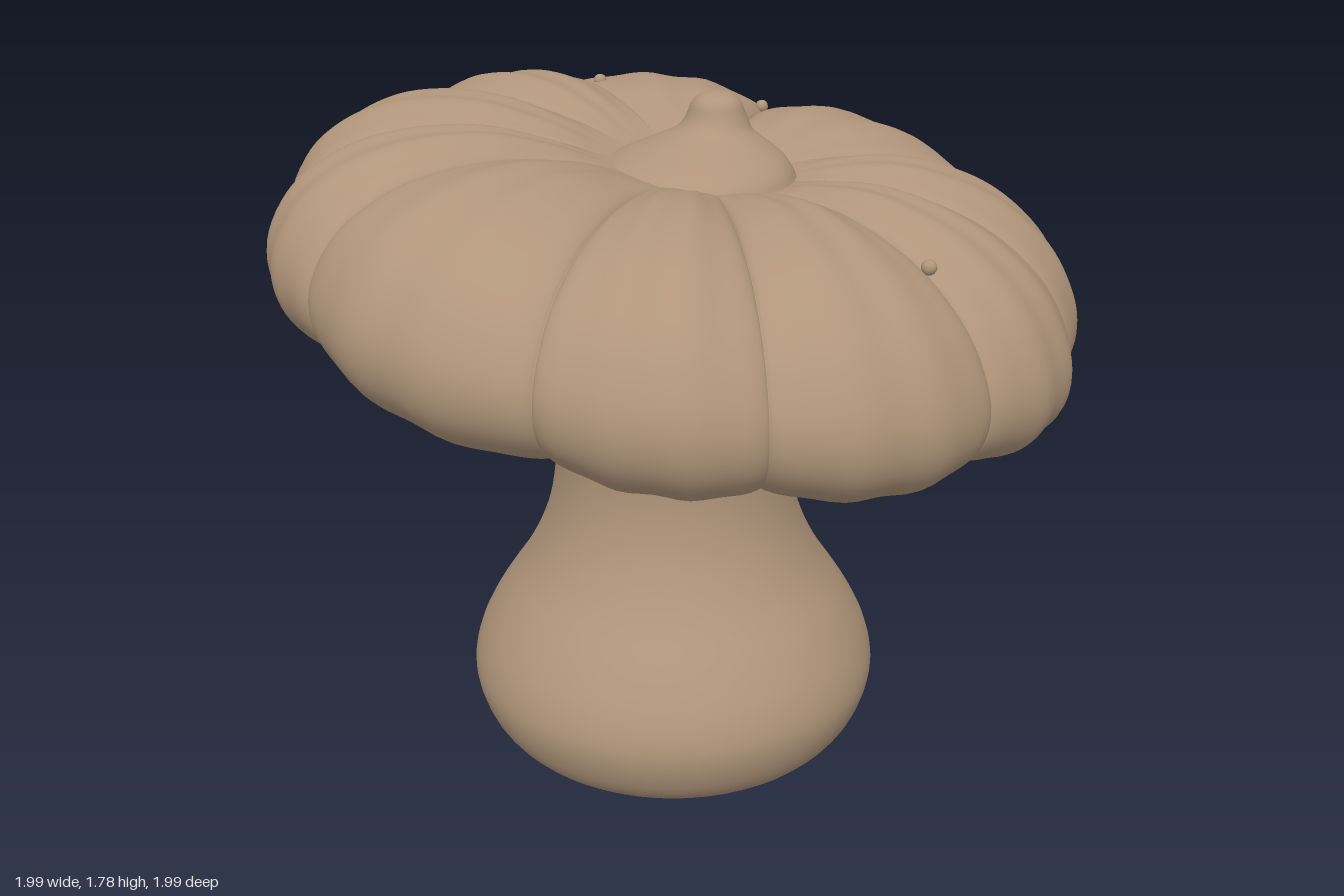
import * as THREE from 'three';

// Smooth curve through a few [radius, height] points
function profile(points, n) {
  return new THREE.SplineCurve(points.map(p => new THREE.Vector2(...p))).getPoints(n)
    .map(p => new THREE.Vector2(Math.max(p.x, 0), p.y));
}

// Height change across the tilted cap, and the height of its rim plane
const slope = (x, z) => -0.105 * x - 0.077 * z;
const rimPlane = (x, z) => 1.35 + slope(x, z);

// Creases: direction in degrees from +x towards +z, and depth
const creases = [[-1, 0.65], [32, 0.6], [62, 0.65], [96, 0.6], [125, 0.65], [166, 0.6],
  [193, 0.7], [229, 0.7], [262, 0.5], [307, 0.9], [359, 0.65]];

function capGeometry() {
  // From the crown over the shoulder and back under to the stem
  const rows = profile([[0.18, 0.262], [0.24, 0.275], [0.35, 0.31], [0.5, 0.335], [0.66, 0.318],
    [0.8, 0.267], [0.92, 0.17], [0.987, 0.035], [0.975, -0.085], [0.89, -0.172], [0.74, -0.21],
    [0.58, -0.188], [0.44, -0.148]], 70);
  // Angular samples, packed more closely at each crease
  const columns = [];
  for (let k = 0; k < creases.length - 1; k++) {
    const [from, depthFrom] = creases[k], [to, depthTo] = creases[k + 1];
    for (let s = 0; s < 28; s++) {
      const u = (1 - Math.cos(Math.PI * s / 28)) / 2;
      const angle = THREE.MathUtils.degToRad(THREE.MathUtils.lerp(from, to, u));
      const arch = Math.sin(Math.PI * u);
      const ripple = 0.06 * Math.cos(u * Math.PI * 6) * arch;
      const groove = (1 - Math.pow(arch, 0.6)) * THREE.MathUtils.lerp(depthFrom, depthTo, u) - ripple;
      columns.push({ angle, groove });
    }
  }
  const positions = [], index = [], n = columns.length;
  rows.forEach((p, i) => {
    const w = THREE.MathUtils.smoothstep(p.x, 0.18, 0.5);
    columns.forEach((c, j) => {
      const groove = c.groove * w;
      const r = p.x * (1.012 - 0.075 * groove);
      const h = p.y * (1 - 0.22 * groove);
      const x = r * Math.cos(c.angle) + 0.05 * Math.max(0, 1 - p.x);
      const z = r * Math.sin(c.angle);
      positions.push(x, rimPlane(x, z) + h, z);
      if (i < rows.length - 1) {
        const a = i * n + j, b = i * n + (j + 1) % n;
        index.push(a, b, a + n, b, b + n, a + n);
      }
    });
  });
  const g = new THREE.BufferGeometry();
  g.setAttribute('position', new THREE.Float32BufferAttribute(positions, 3));
  g.setIndex(index);
  g.computeVertexNormals();
  return g;
}

// Lathe whose vertices are then moved by a rule
function bentLathe(points, rows, sides, move) {
  const g = new THREE.LatheGeometry(profile(points, rows), sides);
  const p = g.attributes.position, v = new THREE.Vector3();
  for (let i = 0; i < p.count; i++) {
    move(v.fromBufferAttribute(p, i));
    p.setXYZ(i, v.x, v.y, v.z);
  }
  // Share normals across the lathe seam
  g.computeVertexNormals();
  const normals = g.attributes.normal, ring = rows + 1;
  const a = new THREE.Vector3(), b = new THREE.Vector3();
  for (let i = 0; i < ring; i++) {
    const last = sides * ring + i;
    a.fromBufferAttribute(normals, i).add(b.fromBufferAttribute(normals, last)).normalize();
    normals.setXYZ(i, a.x, a.y, a.z);
    normals.setXYZ(last, a.x, a.y, a.z);
  }
  return g;
}

export function createModel() {
  const group = new THREE.Group();
  const clay = new THREE.MeshStandardMaterial({ color: 0xb0957a });
  clay.name = 'warm tan';

  function add(name, geometry, x = 0, y = 0, z = 0) {
    const mesh = new THREE.Mesh(geometry, clay);
    mesh.name = name;
    mesh.position.set(x, y, z);
    group.add(mesh);
  }

  // Waisted stem with a bulbous foot, its flared top tilted with the cap
  add('stem', bentLathe([[0, 0.008], [0.28, 0.012], [0.43, 0.035], [0.51, 0.1], [0.55, 0.21], [0.535, 0.31],
    [0.48, 0.42], [0.395, 0.55], [0.338, 0.68], [0.314, 0.81], [0.32, 0.93], [0.35, 1.03],
    [0.41, 1.115], [0.49, 1.18], [0.54, 1.215]], 60, 64, v => {
    v.y += slope(v.x, v.z) * THREE.MathUtils.smoothstep(v.y, 0.8, 1.15);
  }), -0.01, 0, -0.02);

  // Ribbed, tilted cap
  add('cap', capGeometry());

  // Low mound rising to a nub that leans towards +x
  add('crown', bentLathe([[0.25, 1.595], [0.235, 1.618], [0.2, 1.645], [0.14, 1.675],
    [0.095, 1.7], [0.075, 1.73], [0.06, 1.765], [0.035, 1.785], [0, 1.79]], 40, 48, v => {
    const lean = THREE.MathUtils.smoothstep(v.y, 1.6, 1.73);
    v.x += 0.065 * lean;
    v.z -= 0.03 * lean;
  }), 0.03, 0, 0.03);

  // Small warts on the cap
  const wart = new THREE.SphereGeometry(0.018, 12, 8);
  [[-0.04, -0.62, 0.3], [0.4, -0.52, 0.275], [0.37, 0.66, 0.26]].forEach(([x, z, h]) =>
    add('wart', wart, x, rimPlane(x, z) + h, z));

  return group;
}
